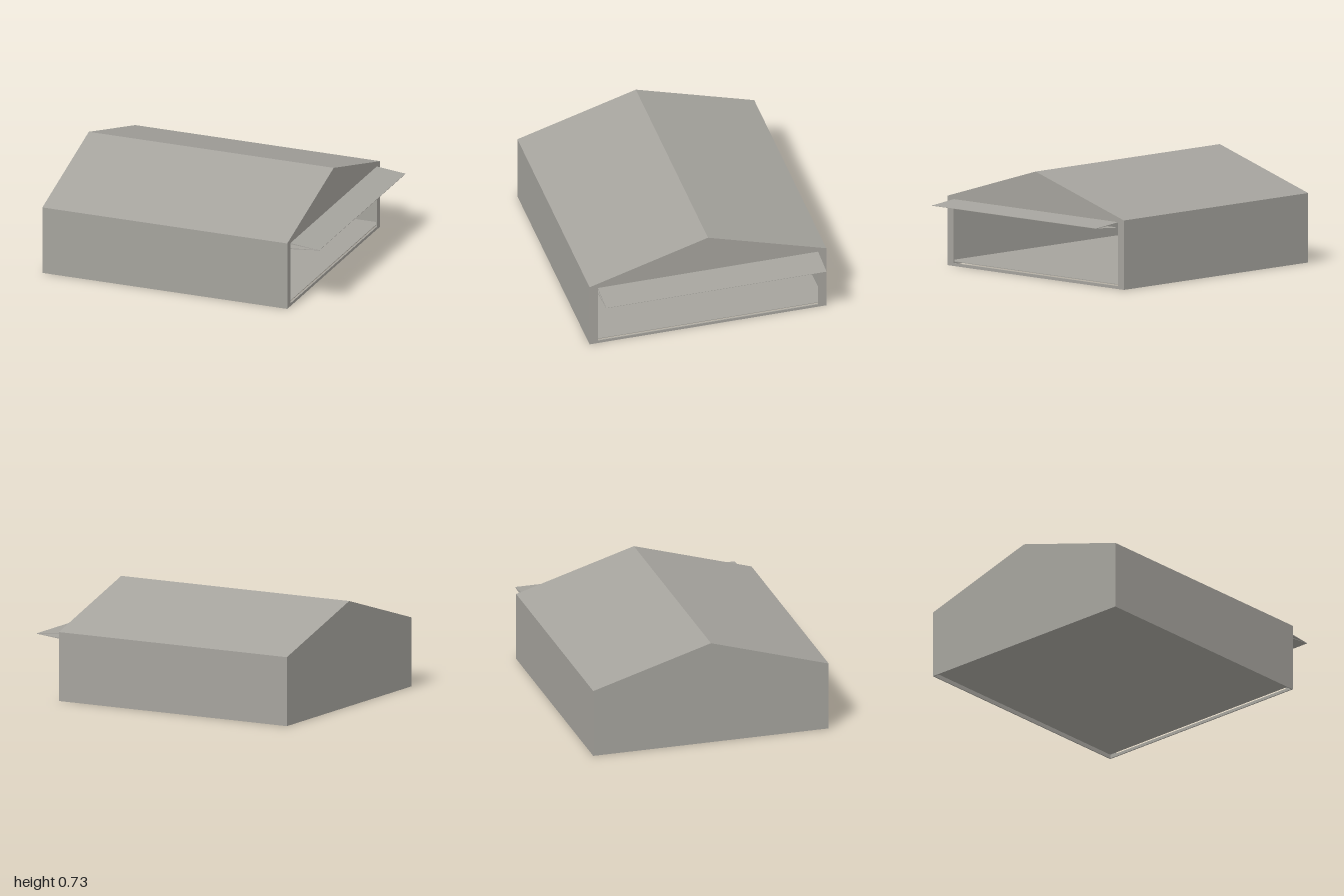
import * as THREE from 'three';

const X0 = -1, X1 = 0.79, Z = 0.833, EAVE = 0.475, RIDGE = 0.725, T = 0.008;
const OPEN_Z = 0.775, OPEN_TOP = 0.458, SILL = 0.02;

// Extrude a (z, y) outline along x, from xStart for the given length
function extrudeX(shape, xStart, length) {
  const g = new THREE.ExtrudeGeometry(shape, { depth: length, bevelEnabled: false });
  g.rotateY(Math.PI / 2);
  g.translate(xStart, 0, 0);
  return g;
}

const outline = (pts) => pts.map(([a, b]) => new THREE.Vector2(a, b));

// Pentagonal gable profile, optionally inset
function gable(inset = 0) {
  const w = Z - inset;
  return outline([[-w, 0], [w, 0], [w, EAVE - inset], [0, RIDGE - inset], [-w, EAVE - inset]]);
}

export function createModel() {
  const group = new THREE.Group();
  const metal = new THREE.MeshStandardMaterial({ color: 0xa5a39d });
  metal.name = 'warm grey';
  const add = (name, geometry) => {
    const mesh = new THREE.Mesh(geometry, metal);
    mesh.name = name;
    group.add(mesh);
    return mesh;
  };

  // Side walls
  for (const s of [1, -1]) {
    const wall = add(s > 0 ? 'frontWall' : 'backWall', new THREE.BoxGeometry(X1 - X0 - 2 * T, EAVE - T, T));
    wall.position.set((X0 + X1) / 2, (EAVE - T) / 2, s * (Z - T / 2));
  }

  // Gabled roof shell
  const roof = new THREE.Shape(outline([
    [-Z, EAVE - T], [-Z, EAVE], [0, RIDGE], [Z, EAVE], [Z, EAVE - T], [0, RIDGE - T],
  ]));
  add('roof', extrudeX(roof, X0 + T, X1 - X0 - 2 * T));

  // Closed end wall
  add('closedEndWall', extrudeX(new THREE.Shape(gable()), X0, T));

  // Door end wall with its wide opening
  const doorWall = new THREE.Shape(gable());
  doorWall.holes.push(new THREE.Path(outline([
    [-OPEN_Z, SILL], [-OPEN_Z, OPEN_TOP], [OPEN_Z, OPEN_TOP], [OPEN_Z, SILL],
  ])));
  add('doorWall', extrudeX(doorWall, X1 - T, T));

  // Raised floor
  const floor = add('floor', new THREE.BoxGeometry(X1 - X0 - 2 * T, 0.004, 2 * (Z - T)));
  floor.position.set((X0 + X1) / 2, 0.03, 0);

  // Folded door: two thin panels meeting at the outer hinge
  const panelShape = (s) => {
    const pts = [[X1 - 0.005, 0.435 + s * 0.022], [1, 0.435 + s * 0.001],
      [1, 0.435], [0.985, 0.435], [X1 - 0.005, 0.435 + s * 0.015]];
    return new THREE.Shape(outline(pts));
  };
  for (const s of [1, -1]) {
    const g = new THREE.ExtrudeGeometry(panelShape(s), { depth: 2 * OPEN_Z, bevelEnabled: false });
    g.translate(0, 0, -OPEN_Z);
    add(s > 0 ? 'upperDoorPanel' : 'lowerDoorPanel', g);
  }
  return group;
}
